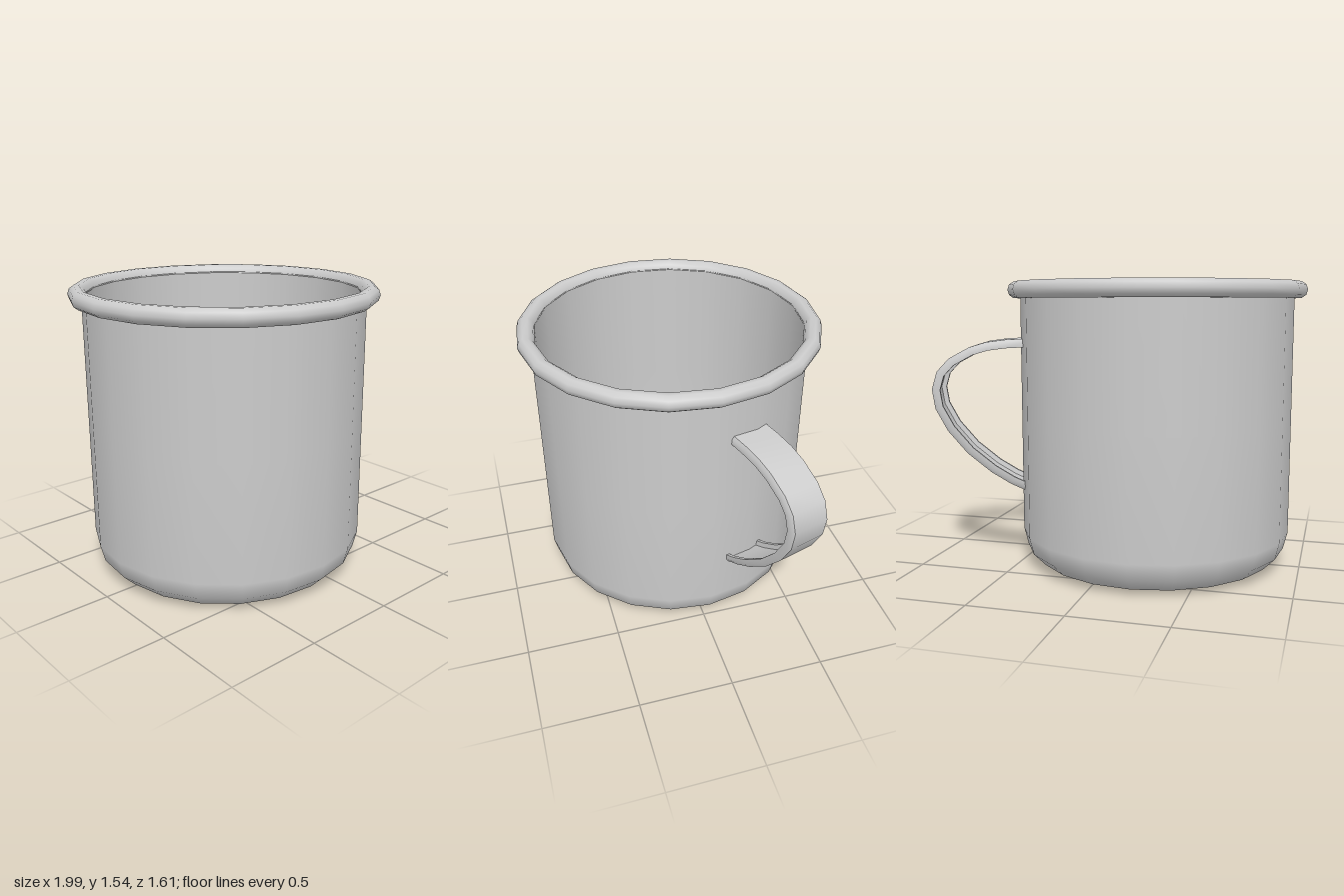
import * as THREE from 'three';
import { toCreasedNormals } from 'three/addons/utils/BufferGeometryUtils.js';

const SIDES = 20;
const PHASE = THREE.MathUtils.degToRad(92.3);
const material = new THREE.MeshStandardMaterial({ color: 0xcccccc });

function named(name, geometry) {
  const mesh = new THREE.Mesh(geometry, material);
  mesh.name = name;
  return mesh;
}

// Turned part from [radius, height] pairs; faces look to the right of an upward profile
function turned(name, profile) {
  const points = profile.map(([r, y]) => new THREE.Vector2(r, y));
  return named(name, new THREE.LatheGeometry(points, SIDES, PHASE));
}

// Sweep a closed section of [across, inward depth] pairs along a path of [radius, height] pairs
function sweepBand(path, section) {
  const positions = [], index = [], n = section.length;
  path.forEach(([r, y], i) => {
    const a = path[Math.max(i - 1, 0)], b = path[Math.min(i + 1, path.length - 1)];
    const t = new THREE.Vector2(b[0] - a[0], b[1] - a[1]).normalize();
    for (const [w, d] of section) positions.push(r + t.y * d, y - t.x * d, w);
    if (i === path.length - 1) return;
    for (let j = 0; j < n; j++) {
      const p = i * n + j, q = i * n + (j + 1) % n;
      index.push(p, q, p + n, q, q + n, p + n);
    }
  });
  // close both ends
  const shape = section.map(([w, d]) => new THREE.Vector2(w, d));
  const last = (path.length - 1) * n;
  for (const [a, b, c] of THREE.ShapeUtils.triangulateShape(shape, [])) {
    index.push(a, c, b, last + a, last + b, last + c);
  }
  const geometry = new THREE.BufferGeometry();
  geometry.setAttribute('position', new THREE.Float32BufferAttribute(positions, 3));
  geometry.setIndex(index);
  return toCreasedNormals(geometry, 0.65);
}

export function createModel() {
  const mug = new THREE.Group();
  mug.name = 'mug';
  mug.position.x = -0.195;

  // Outer wall with rounded foot
  mug.add(turned('outerWall', [
    [0, 0], [0.57, 0], [0.65, 0.025], [0.715, 0.09], [0.738, 0.18], [0.738, 0.8], [0.738, 1.47],
  ]));

  // Inner wall running down into a rounded floor
  mug.add(turned('innerWall', [
    [0.715, 1.5], [0.715, 0.8], [0.715, 0.19], [0.69, 0.1], [0.635, 0.045], [0.56, 0.025], [0, 0.025],
  ]));

  // Rolled rim
  const rim = [];
  for (let i = 0; i <= 10; i++) {
    const a = (i / 10) * Math.PI * 2 - Math.PI;
    rim.push([0.76 + 0.046 * Math.cos(a), 1.494 + 0.046 * Math.sin(a)]);
  }
  mug.add(turned('rolledRim', rim));

  // Strap handle: a shallow channel with its lips turned inward
  const handlePath = [
    [0.715, 1.235], [0.82, 1.23], [0.92, 1.217], [1.01, 1.19], [1.12, 1.13], [1.185, 1.06], [1.213, 0.965],
    [1.197, 0.86], [1.134, 0.74], [1.03, 0.615], [0.904, 0.51], [0.8, 0.445], [0.715, 0.405],
  ];
  const channel = [
    [-0.11, 0.045], [-0.11, 0.018], [-0.098, 0], [0.098, 0], [0.11, 0.018], [0.11, 0.045],
    [0.093, 0.045], [0.088, 0.02], [-0.088, 0.02], [-0.093, 0.045],
  ];
  const handle = named('handle', sweepBand(handlePath, channel));
  handle.rotation.y = THREE.MathUtils.degToRad(17.5);
  mug.add(handle);

  const model = new THREE.Group();
  model.add(mug);
  return model;
}
